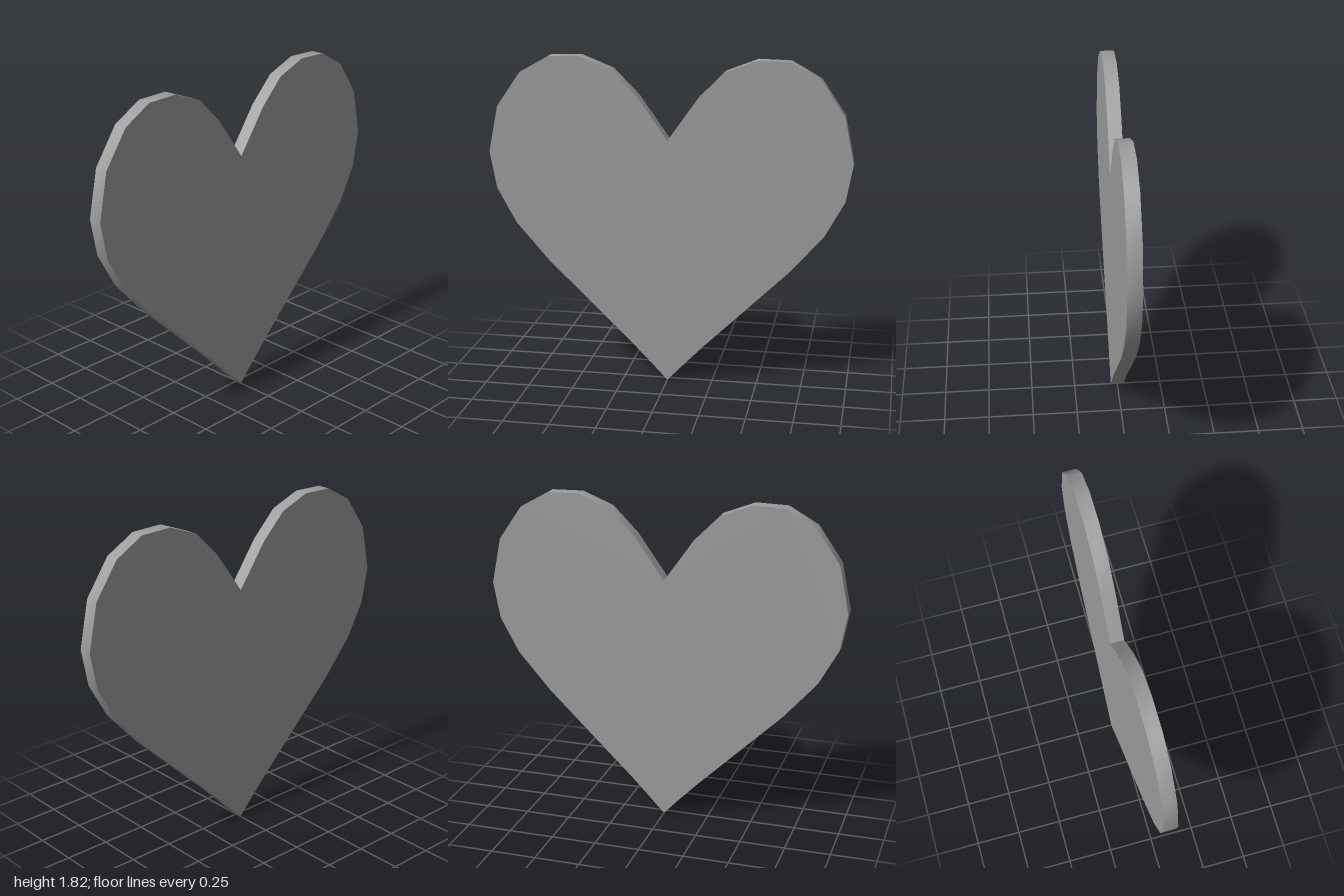
import * as THREE from 'three';
import { toCreasedNormals } from 'three/addons/utils/BufferGeometryUtils.js';

const DEPTH = 0.076;

// Half outline on +x, from the bottom tip up to the notch
const HALF = [
  [0, 0], [0.1, 0.107], [0.2, 0.21], [0.45, 0.455], [0.675, 0.675],
  [0.857, 0.885], [0.963, 1.08], [1, 1.285], [0.947, 1.54], [0.815, 1.73],
  [0.655, 1.82], [0.478, 1.824], [0.307, 1.757], [0.166, 1.615], [0, 1.38],
];

export function createModel() {
  const group = new THREE.Group();
  group.name = 'heart';

  // Mirror the half outline, skipping the shared tip and notch
  const mirrored = HALF.slice(1, -1).reverse().map(([x, y]) => [-x, y]);
  const outline = [...HALF, ...mirrored].map(([x, y]) => new THREE.Vector2(x, y));

  // Flat plate with a smooth rim, sharp at the faces, tip and notch
  const plate = new THREE.ExtrudeGeometry(new THREE.Shape(outline), {
    depth: DEPTH,
    bevelEnabled: false,
  });
  plate.translate(0, 0, -DEPTH / 2);

  const mesh = new THREE.Mesh(
    toCreasedNormals(plate, 0.7),
    new THREE.MeshStandardMaterial({ color: 0x9d9d9d }),
  );
  mesh.name = 'heartPlate';
  group.add(mesh);
  return group;
}
